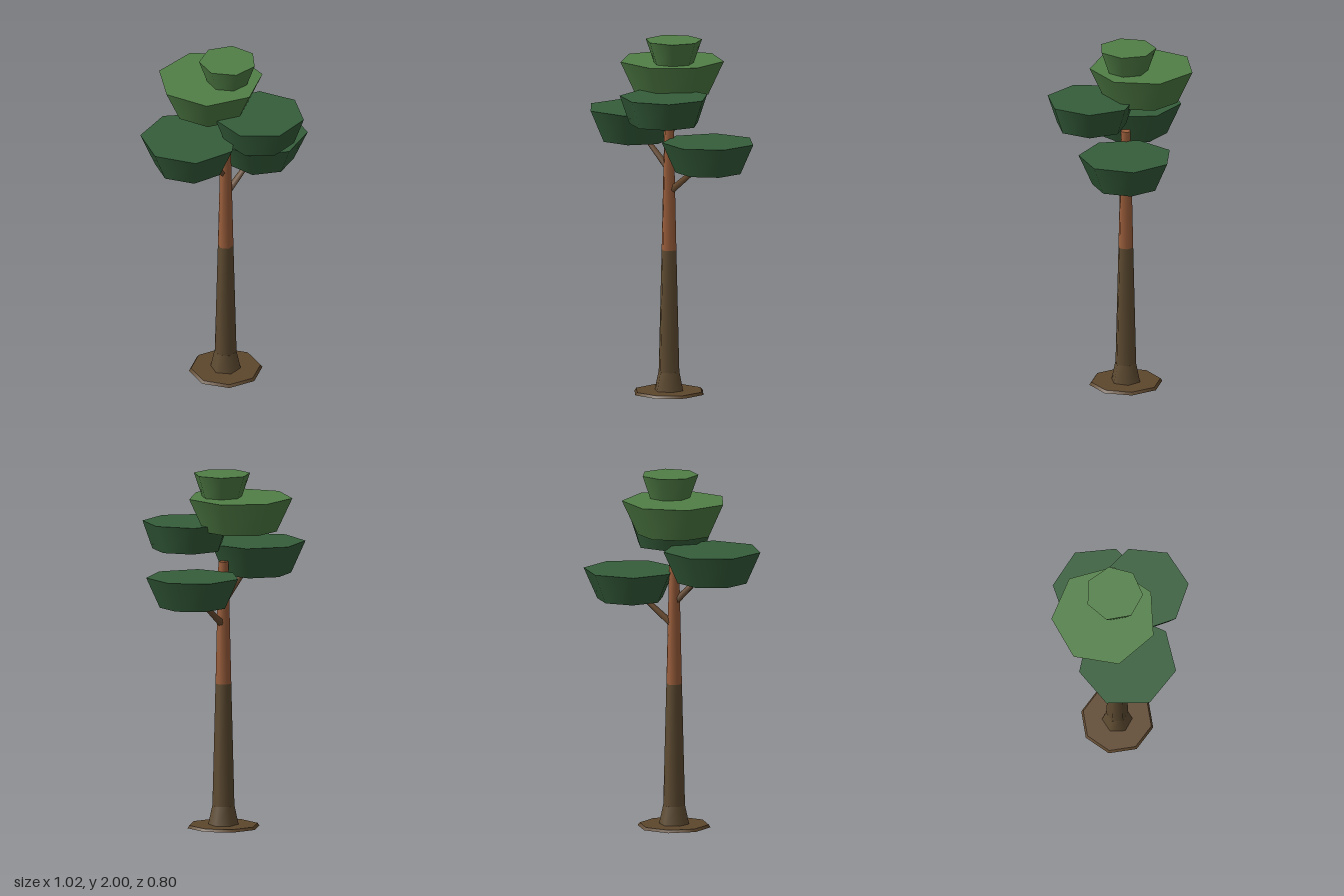
import * as THREE from 'three';

const material = (name, color) => {
  const m = new THREE.MeshStandardMaterial({ color });
  m.name = name;
  return m;
};

export function createModel() {
  const tree = new THREE.Group();
  tree.name = 'tree';

  const darkBark = material('dark bark', 0x5f4c32);
  const redBark = material('red bark', 0x9c5f3c);
  const branchBark = material('branch bark', 0x6b4d31);
  const soil = material('soil', 0x5d462c);
  const darkLeaf = material('dark leaf', 0x355e3b);
  const lightLeaf = material('light leaf', 0x517f46);

  // Tapered prism standing between two heights
  function prism(name, mat, x, z, y0, y1, r0, r1, sides, turn) {
    const g = new THREE.CylinderGeometry(r1, r0, y1 - y0, sides, 1, false, turn);
    const mesh = new THREE.Mesh(g, mat);
    mesh.name = name;
    mesh.position.set(x, (y0 + y1) / 2, z);
    tree.add(mesh);
  }

  // Ground disc and three-part trunk
  const tx = -0.01, tz = -0.033, hex = Math.PI / 6;
  prism('groundDisc', soil, tx, tz, 0, 0.015, 0.206, 0.195, 8, 0);
  prism('trunkFlare', darkBark, tx, tz, 0, 0.12, 0.088, 0.062, 6, hex);
  prism('lowerTrunk', darkBark, tx, tz, 0.1, 0.81, 0.062, 0.044, 6, hex);
  prism('upperTrunk', redBark, tx, tz, 0.81, 1.5, 0.044, 0.028, 6, hex);

  // Branches reaching into the side crowns
  function branch(name, from, to) {
    const a = new THREE.Vector3(...from), b = new THREE.Vector3(...to);
    const dir = b.clone().sub(a);
    const mesh = new THREE.Mesh(new THREE.CylinderGeometry(0.013, 0.021, dir.length(), 5), branchBark);
    mesh.name = name;
    mesh.position.copy(a).add(b).multiplyScalar(0.5);
    mesh.quaternion.setFromUnitVectors(new THREE.Vector3(0, 1, 0), dir.normalize());
    tree.add(mesh);
  }
  branch('leftBranch', [0, 1.145, tz], [0.2, 1.315, 0.003]);
  branch('rightBranch', [-0.015, 1.275, tz], [-0.18, 1.445, -0.08]);

  // Seven-sided crowns: x, z, bottom, top, top radius, bottom ratio, turn
  const crowns = [
    ['leftCrown', darkLeaf, 0.244, 0.009, 1.275, 1.445, 0.264, 0.71, 0.673],
    ['rightCrown', darkLeaf, -0.237, -0.106, 1.41, 1.59, 0.277, 0.71, 0.134],
    ['frontCrown', darkLeaf, 0.04, 0.171, 1.56, 1.717, 0.252, 0.78, 0.465],
    ['upperCrown', lightLeaf, -0.03, -0.129, 1.68, 1.87, 0.296, 0.7, -0.051],
    ['topCrown', lightLeaf, 0.015, -0.038, 1.855, 2, 0.161, 0.68, 0.304],
  ];
  for (const [name, mat, x, z, y0, y1, r, ratio, turn] of crowns) {
    prism(name, mat, x, z, y0, y1, r * ratio, r, 7, turn);
  }
  return tree;
}
